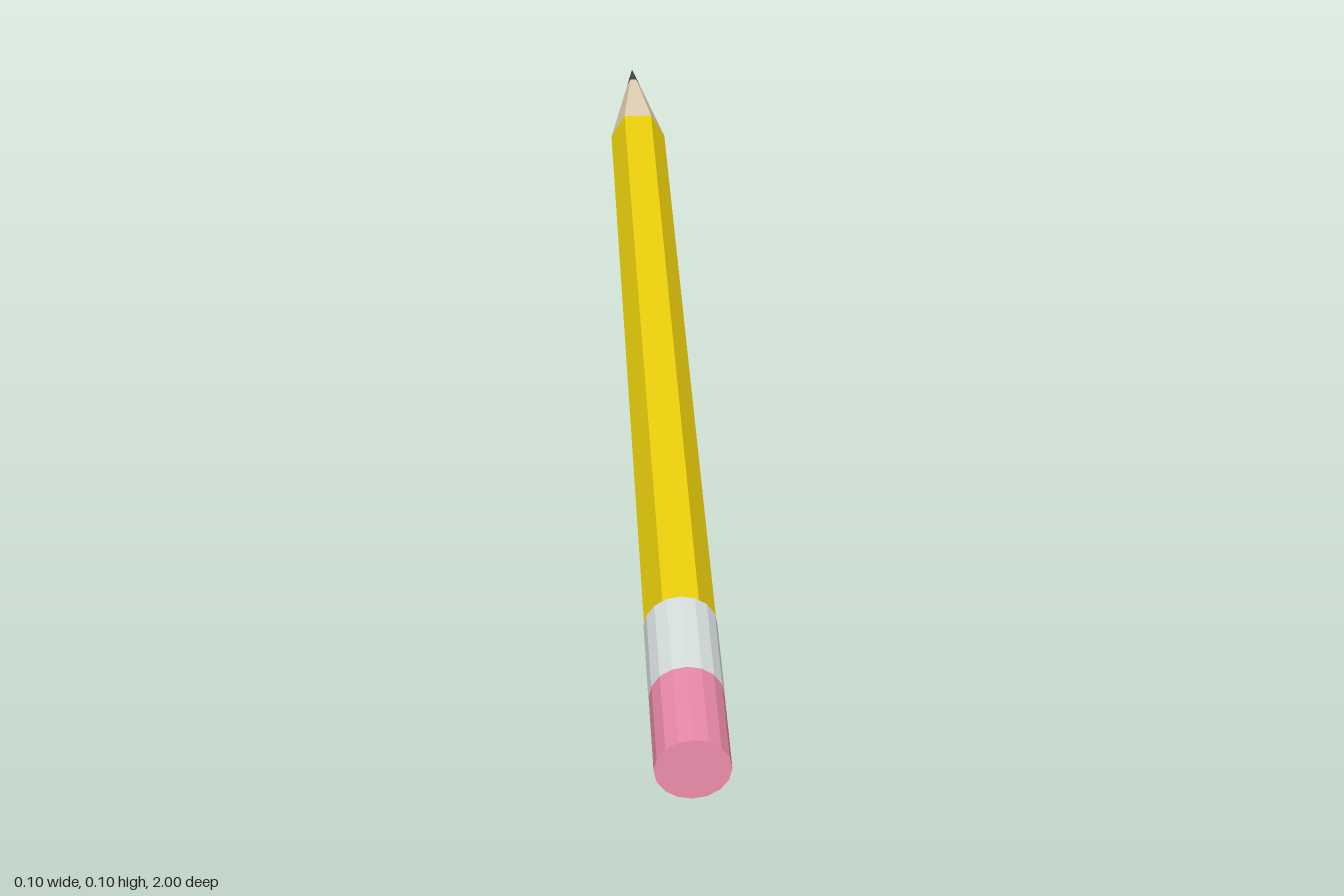
import * as THREE from 'three';

const AXIS_Y = 0.051; // height of the long axis

// A prism or cone section along z, from back (zBack) to front (zFront)
function section(name, color, zBack, zFront, rBack, rFront, sides, open = false) {
  const geometry = new THREE.CylinderGeometry(
    rFront, rBack, zFront - zBack, sides, 1, open, Math.PI / 2);
  geometry.rotateX(Math.PI / 2);
  const mesh = new THREE.Mesh(
    geometry, new THREE.MeshStandardMaterial({ color, flatShading: true }));
  mesh.name = name;
  mesh.position.set(0, AXIS_Y, (zBack + zFront) / 2);
  return mesh;
}

export function createModel() {
  const pencil = new THREE.Group();
  pencil.name = 'pencil';

  const bodyR = 0.05;
  const shoulder = -0.717, leadStart = -0.935, tip = -1;
  const leadR = bodyR * (leadStart - tip) / (shoulder - tip);

  pencil.add(
    // hexagonal painted barrel
    section('barrel', 0xeed20c, shoulder, 0.717, bodyR, bodyR, 6),
    // sharpened end keeps the six sides down to the point
    section('sharpenedWood', 0xecd8bc, leadStart, shoulder, leadR, bodyR, 6, true),
    section('leadTip', 0x45454c, tip, leadStart, 0, leadR, 6, true),
    // round metal band and rubber
    section('ferrule', 0xdce4e4, 0.715, 0.86, 0.051, 0.051, 16),
    section('eraser', 0xee8cab, 0.86, 1, 0.0505, 0.0505, 16),
  );
  return pencil;
}
